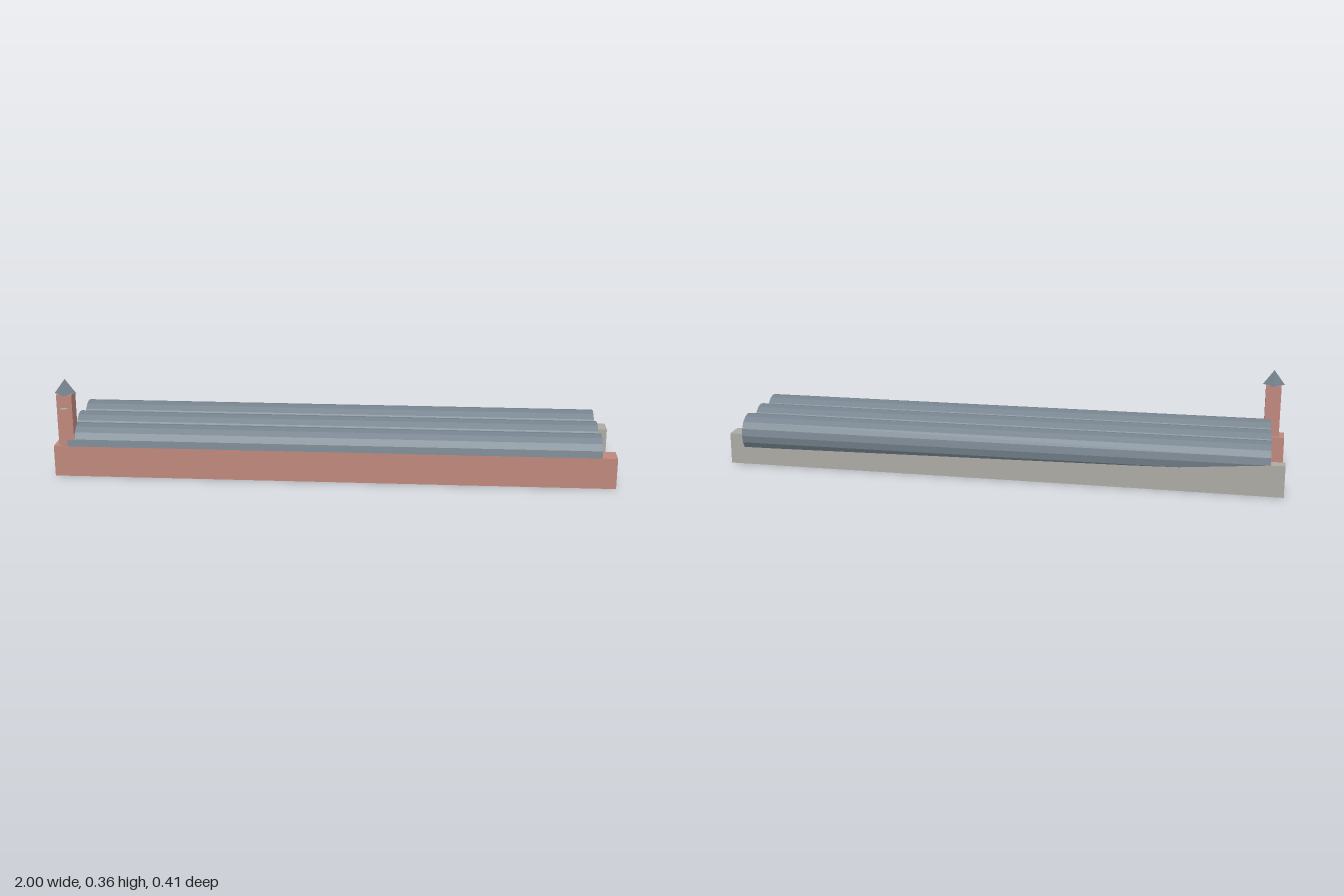
import * as THREE from 'three';

const mat = (name, color, extra = {}) => {
  const m = new THREE.MeshStandardMaterial({ color, ...extra });
  m.name = name;
  return m;
};

export function createModel() {
  const model = new THREE.Group();
  model.name = 'trainStation';
  const brick = mat('brick', 0xbd877c);
  const slate = mat('slate', 0x75828d, { flatShading: true });
  const stone = mat('stone', 0xaba9a2);

  const add = (name, geometry, material, x = 0, y = 0, z = 0) => {
    const mesh = new THREE.Mesh(geometry, material);
    mesh.name = name;
    mesh.position.set(x, y, z);
    model.add(mesh);
    return mesh;
  };
  const wallHeight = 0.113;

  // Long brick front building
  add('frontBuilding', new THREE.BoxGeometry(2, wallHeight, 0.07), brick, 0, wallHeight / 2, 0.162);

  // Stone hall: footprint as [x, z], with a slightly skewed back wall and recesses behind the front
  const footprint = [
    [1, -0.115], [0.83, -0.112], [0.83, 0.062], [0.11, 0.062], [0.11, 0.113],
    [-0.09, 0.113], [-0.09, 0.064], [-0.33, 0.064], [-0.33, 0.113], [-0.36, 0.127],
    [-0.76, 0.127], [-0.76, -0.158], [-1, -0.165], [-1, -0.206], [-0.47, -0.197], [1, -0.184],
  ];
  const outline = new THREE.Shape(footprint.map(([x, z]) => new THREE.Vector2(x, -z)));
  const hall = new THREE.ExtrudeGeometry(outline, { depth: wallHeight, bevelEnabled: false });
  hall.rotateX(-Math.PI / 2);
  add('stationHall', hall, stone);

  // Three parallel barrel roofs
  const barrel = new THREE.CylinderGeometry(0.067, 0.067, 1.897, 16);
  barrel.rotateZ(Math.PI / 2);
  [0.13, -0.004, -0.138].forEach((z, i) => {
    add('barrelRoof' + (i + 1), barrel, slate, -0.002, 0.112, z);
  });

  // Corner clock tower with a pyramid roof
  const towerX = -0.953, towerZ = 0.165;
  add('tower', new THREE.BoxGeometry(0.055, 0.194, 0.055), brick, towerX, 0.206, towerZ);
  add('towerRoof', new THREE.ConeGeometry(0.039, 0.053, 4), slate, towerX, 0.329, towerZ);
  add('towerDisc', new THREE.CylinderGeometry(0.016, 0.016, 0.003, 16), stone, towerX, 0.255, 0.191);

  return model;
}
